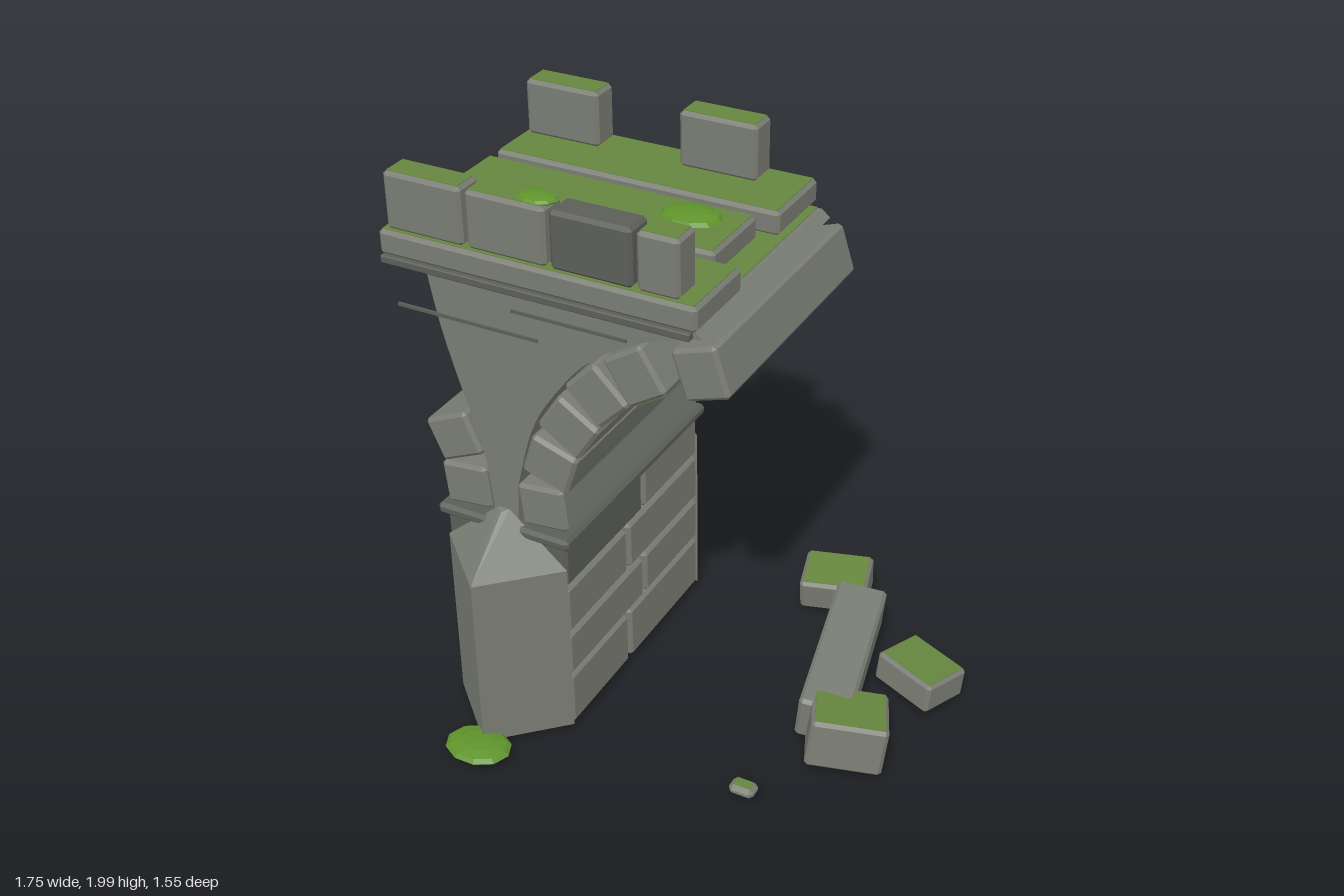
import * as THREE from 'three';
import { ConvexGeometry } from 'three/addons/geometries/ConvexGeometry.js';

const mat = (name, color, flatShading = true) => {
  const m = new THREE.MeshStandardMaterial({ color, flatShading });
  m.name = name;
  return m;
};

export function createModel() {
  const stone = mat('stone', 0x7a7d73);
  const darkStone = mat('darkStone', 0x5c5e58);
  const mossyTop = mat('mossyTop', 0x66863f);
  const moss = mat('moss', 0x5f932c);

  const root = new THREE.Group();
  root.name = 'ruinedBridge';
  const group = (name) => {
    const g = new THREE.Group();
    g.name = name;
    root.add(g);
    return g;
  };
  const hull = (pts) => new ConvexGeometry(pts.map((p) => new THREE.Vector3(...p)));

  // Box with chamfered edges
  const chamferBox = (w, h, d, b) => {
    const pts = [];
    for (const sx of [-1, 1]) for (const sy of [-1, 1]) for (const sz of [-1, 1]) {
      const x = w / 2, y = h / 2, z = d / 2;
      pts.push([sx * x, sy * (y - b), sz * (z - b)], [sx * (x - b), sy * y, sz * (z - b)], [sx * (x - b), sy * (y - b), sz * z]);
    }
    return hull(pts);
  };

  // Stone block, optionally with a thin moss layer on its top or underside
  const block = (parent, name, size, pos, { rot = [0, 0, 0], m = stone, mossSide = 0, bevel = 0.012 } = {}) => {
    const [w, h, d] = size;
    const g = new THREE.Group();
    g.name = name;
    g.position.set(...pos);
    g.rotation.set(...rot);
    const body = new THREE.Mesh(chamferBox(w, h, d, bevel), m);
    body.name = name + 'Stone';
    g.add(body);
    if (mossSide) {
      const layer = new THREE.Mesh(new THREE.BoxGeometry(w - 2 * bevel, 0.004, d - 2 * bevel), mossyTop);
      layer.name = name + 'Moss';
      layer.position.y = mossSide * h / 2;
      g.add(layer);
    }
    parent.add(g);
    return g;
  };
  // Block given by its minimum and maximum corners
  const span = (parent, name, a, b, opts) =>
    block(parent, name, a.map((v, i) => b[i] - v), a.map((v, i) => (v + b[i]) / 2), opts);

  // Pier: staggered courses of two blocks
  const zBack = -0.485, zFront = 0.43, zMid = (zBack + zFront) / 2, depth = zFront - zBack;
  const pier = group('pier');
  [[0.03, 0.237, 0.03], [0.245, 0.413, -0.085], [0.424, 0.606, 0.025], [0.616, 0.785, -0.085]].forEach(([y0, y1, split], i) => {
    span(pier, 'pierBlock', [-0.72, y0, split + 0.007], [-0.262, y1, zFront], { m: i === 3 ? darkStone : stone });
    span(pier, 'pierBlock', [-0.72, y0, zBack], [-0.262, y1, split - 0.007]);
  });
  span(pier, 'pierCornice', [-0.742, 0.778, -0.515], [-0.242, 0.82, 0.452], { m: darkStone });

  // Pointed cutwaters with sloped caps at both ends of the pier
  for (const [z, tip] of [[zFront, 0.65], [zBack, -0.718]]) {
    const pts = [[-0.51, 0.868, z], [-0.47, 0.868, z], [-0.49, 0.862, z + Math.sign(tip) * 0.02]];
    for (const y of [0.03, 0.69]) pts.push([-0.72, y, z], [-0.26, y, z], [-0.49, y, tip]);
    const cutwater = new THREE.Mesh(hull(pts), stone);
    cutwater.name = 'cutwater';
    root.add(cutwater);
  }

  // Spandrel wall between the two arch curves
  const wall = new THREE.Shape();
  wall.moveTo(-0.53, 0.81);
  wall.lineTo(-0.445, 0.81);
  wall.lineTo(-0.435, 0.97);
  wall.splineThru([[-0.37, 1.2], [-0.275, 1.36], [-0.155, 1.5], [-0.005, 1.6], [0.13, 1.655], [0.23, 1.68]].map((p) => new THREE.Vector2(...p)));
  wall.lineTo(0.2, 1.705);
  wall.lineTo(-0.73, 1.705);
  wall.splineThru([[-0.69, 1.5], [-0.64, 1.32], [-0.575, 1.12], [-0.545, 0.97], [-0.53, 0.81]].map((p) => new THREE.Vector2(...p)));
  const spandrel = new THREE.Mesh(new THREE.ExtrudeGeometry(wall, { depth: depth - 0.02, bevelEnabled: false, curveSegments: 3 }), stone);
  spandrel.name = 'spandrel';
  spandrel.position.z = zBack + 0.01;
  root.add(spandrel);

  // Arch stones running the full depth: x, y, turn in degrees, moss side
  const arch = group('archStones');
  [
    [-0.345, 0.91, 6], [-0.31, 1.085, -18], [-0.235, 1.245, -33], [-0.13, 1.39, -45],
    [0.005, 1.495, -58, 1], [0.225, 1.565, -72],
    [-0.635, 0.91, 6], [-0.67, 1.085, 24],
  ].forEach(([x, y, deg, mossy]) => {
    const g = block(arch, 'archStone', [0.172, 0.155, depth], [x, y, zMid], { rot: [0, 0, deg * Math.PI / 180] });
    if (mossy) {
      const layer = new THREE.Mesh(new THREE.BoxGeometry(0.004, 0.13, depth - 0.024), mossyTop);
      layer.name = 'archStoneMoss';
      layer.position.x = 0.086;
      g.add(layer);
    }
  });

  // Deck: mossy bed, three slabs and a string course
  const deck = group('deck');
  span(deck, 'deckBed', [-0.775, 1.675, -0.475], [0.19, 1.708, 0.42], { mossSide: 1, bevel: 0.004 });
  [[-0.515, -0.22, 0.165], [-0.18, 0.115, 0.11], [0.15, 0.445, 0.222]].forEach(([z0, z1, x1]) =>
    span(deck, 'deckSlab', [-0.877, 1.706, z0], [x1, 1.79, z1], { mossSide: 1 }));
  span(deck, 'stringCourse', [-0.877, 1.675, 0.41], [0.2, 1.702, 0.445], { m: darkStone, bevel: 0.004 });

  // Parapet stones
  const parapet = group('parapet');
  [[-0.852, -0.575], [-0.56, -0.284], [-0.27, 0.006], [0.02, 0.16]].forEach(([x0, x1], i) =>
    span(parapet, 'frontMerlon', [x0, 1.79, 0.32], [x1, 1.983, 0.43], i === 2 ? { m: darkStone } : { mossSide: 1 }));
  [[-0.855, -0.578], [-0.275, 0.005]].forEach(([x0, x1]) =>
    span(parapet, 'backMerlon', [x0, 1.79, -0.495], [x1, 1.983, -0.385], { mossSide: 1 }));

  // Thin cracks on the front wall
  for (const [x0, x1, y] of [[-0.84, -0.33, 1.53], [-0.42, -0.02, 1.612]]) {
    const crack = new THREE.Mesh(new THREE.BoxGeometry(x1 - x0, 0.01, 0.009), darkStone);
    crack.name = 'crack';
    crack.position.set((x0 + x1) / 2, y, zFront - 0.008);
    root.add(crack);
  }

  // Fallen stones
  const rubble = group('rubble');
  block(rubble, 'fallenBlock', [0.25, 0.125, 0.195], [0.245, 0.09, -0.655], { rot: [0.12, 0.25, 0], mossSide: 1 });
  block(rubble, 'fallenBlock', [0.25, 0.115, 0.195], [0.72, 0.09, -0.305], { rot: [-0.1, -0.37, -0.08], mossSide: 1 });
  block(rubble, 'fallenBlock', [0.26, 0.18, 0.23], [0.625, 0.128, 0.125], { rot: [-0.1, 0.4, -0.08], mossSide: 1 });
  block(rubble, 'fallenArchStone', [0.18, 0.165, 0.66], [0.475, 0.15, -0.175], { rot: [0.04, 0.21, -0.1] });
  block(rubble, 'pebble', [0.09, 0.04, 0.065], [0.41, 0.06, 0.47], { mossSide: 1, bevel: 0.015 });

  // Moss clumps: position and radii
  const clumps = group('mossClumps');
  [
    [-0.645, 0.035, -0.66, 0.14, 0.028, 0.112], [-0.49, 0.038, 0.68, 0.12, 0.026, 0.095],
    [-0.61, 1.79, 0.25, 0.1, 0.027, 0.075], [-0.065, 1.79, -0.075, 0.108, 0.028, 0.082],
    [-0.337, 1.985, 0.37, 0.068, 0.015, 0.05],
  ].forEach(([x, y, z, a, b, c]) => {
    const clump = new THREE.Mesh(new THREE.SphereGeometry(1, 10, 6), moss);
    clump.name = 'mossClump';
    clump.position.set(x, y, z);
    clump.scale.set(a, b, c);
    clumps.add(clump);
  });

  return root;
}
